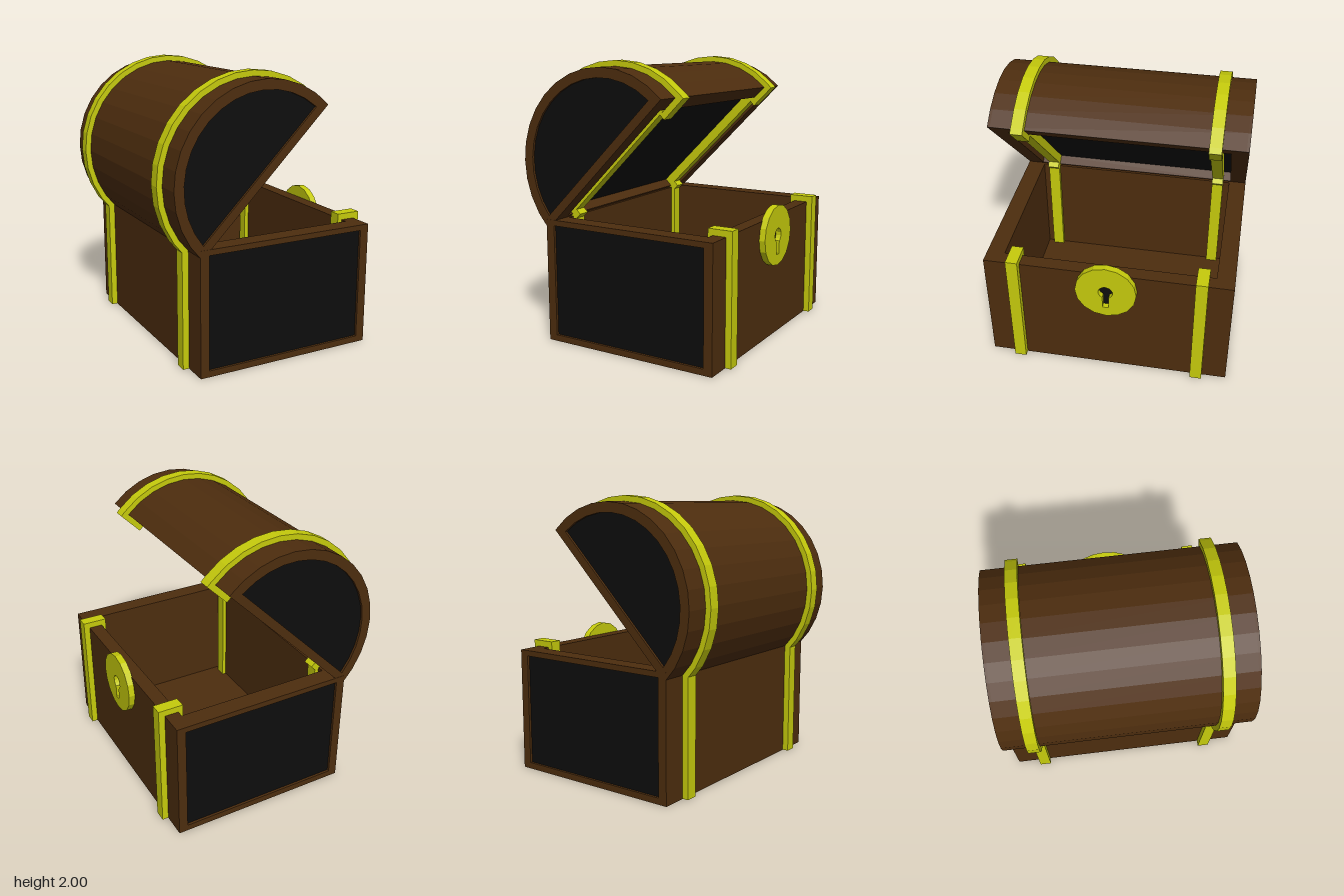
import * as THREE from 'three';

const mat = (color) => new THREE.MeshStandardMaterial({ color, flatShading: true });
const wood = mat(0x4d2d0e), gold = mat(0xc6cb0c), black = mat(0x0d0d0d);
const ARC = 16; // facets of the half-round lid

function add(parent, name, geometry, material) {
  const mesh = new THREE.Mesh(geometry, material);
  mesh.name = name;
  parent.add(mesh);
  return mesh;
}

// box given by its limits
function box(parent, name, material, [x0, x1], [y0, y1], [z0, z1]) {
  const g = new THREE.BoxGeometry(x1 - x0, y1 - y0, z1 - z0);
  g.translate((x0 + x1) / 2, (y0 + y1) / 2, (z0 + z1) / 2);
  return add(parent, name, g, material);
}

const rectPoints = (x0, x1, y0, y1) => [[x0, y0], [x1, y0], [x1, y1], [x0, y1]]
  .map(([x, y]) => new THREE.Vector2(x, y));

// half disc of radius r, cut off flat at height cut
function halfDisc(r, cut = 0) {
  const a = Math.asin(cut / r);
  return Array.from({ length: ARC + 1 }, (_, i) => {
    const t = a + (Math.PI - 2 * a) * i / ARC;
    return new THREE.Vector2(r * Math.cos(t), r * Math.sin(t));
  });
}

// half ring profile
const halfRing = (outer, inner) => [...halfDisc(outer), ...halfDisc(inner).reverse()];

// extrude an outline, with an optional hole, from z0 to z1
function slab(points, z0, z1, hole) {
  const shape = new THREE.Shape(points);
  if (hole) shape.holes.push(new THREE.Path(hole));
  const g = new THREE.ExtrudeGeometry(shape, { depth: z1 - z0, bevelEnabled: false });
  return g.translate(0, 0, z0);
}

function createBase() {
  const base = new THREE.Group();
  base.name = 'base';
  // hollow walls and floor
  const walls = slab(rectPoints(-0.58, 0.755, -0.87, 0.87), 0, 0.89, rectPoints(-0.48, 0.655, -0.76, 0.76));
  add(base, 'baseWalls', walls.rotateX(-Math.PI / 2), wood);
  box(base, 'baseFloor', wood, [-0.5, 0.67], [0, 0.08], [-0.78, 0.78]);

  for (const s of [1, -1]) {
    // framed dark panel on each end
    const [z0, z1] = s > 0 ? [0.87, 0.89] : [-0.89, -0.87];
    add(base, 'baseEndFrame', slab(rectPoints(-0.58, 0.755, 0, 0.89), z0, z1,
      rectPoints(-0.515, 0.69, 0.045, 0.85)), wood);
    box(base, 'baseEndPanel', black, [-0.53, 0.7], [0.03, 0.86], [s * 0.869 - 0.003, s * 0.869 + 0.003]);
    // straps wrapped round the front and rear walls
    const z = [s * 0.67 - 0.043, s * 0.67 + 0.043];
    box(base, 'frontStrap', gold, [0.62, 0.8], [0.002, 0.935], z);
    box(base, 'rearStrap', gold, [-0.625, -0.45], [0.002, 0.935], z);
  }
  return base;
}

function createLid() {
  const lid = new THREE.Group();
  lid.name = 'lid';
  // barrel shell
  add(lid, 'lidShell', slab(halfRing(0.665, 0.58), -0.87, 0.87), wood);
  // underside rim round a dark recess
  const rim = slab(rectPoints(-0.655, 0.655, -0.87, 0.87), 0, 0.07, rectPoints(-0.55, 0.55, -0.77, 0.77));
  add(lid, 'lidRim', rim.rotateX(-Math.PI / 2), wood);
  box(lid, 'lidLining', black, [-0.57, 0.57], [0.07, 0.08], [-0.8, 0.8]);

  for (const s of [1, -1]) {
    // framed half-round dark panel on each end
    const [z0, z1] = s > 0 ? [0.87, 0.889] : [-0.889, -0.87];
    add(lid, 'lidEndFrame', slab(halfDisc(0.665), z0, z1, halfDisc(0.595, 0.06)), wood);
    add(lid, 'lidEndPanel', slab(halfDisc(0.61, 0.045), s * 0.869 - 0.003, s * 0.869 + 0.003), black);
    // curved strap with hooks under the rim and a cross bar
    const z = [s * 0.67 - 0.043, s * 0.67 + 0.043];
    add(lid, 'lidStrap', slab(halfRing(0.705, 0.64), ...z), gold);
    box(lid, 'lidStrapHook', gold, [0.5, 0.705], [-0.043, 0.001], z);
    box(lid, 'lidStrapHook', gold, [-0.705, -0.5], [-0.043, 0.001], z);
    box(lid, 'lidStrapBar', gold, [-0.56, 0.56], [0.002, 0.075], z);
  }
  lid.position.set(-0.095, 1.295, 0);
  lid.rotation.z = Math.PI / 4;
  return lid;
}

function createLock() {
  const lock = new THREE.Group();
  lock.name = 'lock';
  const disc = Array.from({ length: 16 }, (_, i) => {
    const t = Math.PI * i / 8;
    return new THREE.Vector2(0.22 * Math.cos(t), 0.22 * Math.sin(t));
  });
  // keyhole: round top with a narrow slot below
  const keyhole = Array.from({ length: 13 }, (_, i) => {
    const t = -Math.PI / 2 + 0.45 + (2 * Math.PI - 0.9) * i / 12;
    return new THREE.Vector2(0.052 * Math.cos(t), 0.052 * Math.sin(t));
  });
  keyhole.push(new THREE.Vector2(-0.022, -0.14), new THREE.Vector2(0.022, -0.14));
  add(lock, 'lockPlate', slab(disc, 0, 0.05, keyhole), gold);
  add(lock, 'keyhole', slab(rectPoints(-0.07, 0.07, -0.16, 0.07), 0.003, 0.01), black);
  lock.position.set(0.75, 0.76, 0);
  lock.rotation.y = Math.PI / 2;
  return lock;
}

export function createModel() {
  const chest = new THREE.Group();
  chest.name = 'treasureChest';
  chest.add(createBase(), createLid(), createLock());
  return chest;
}
